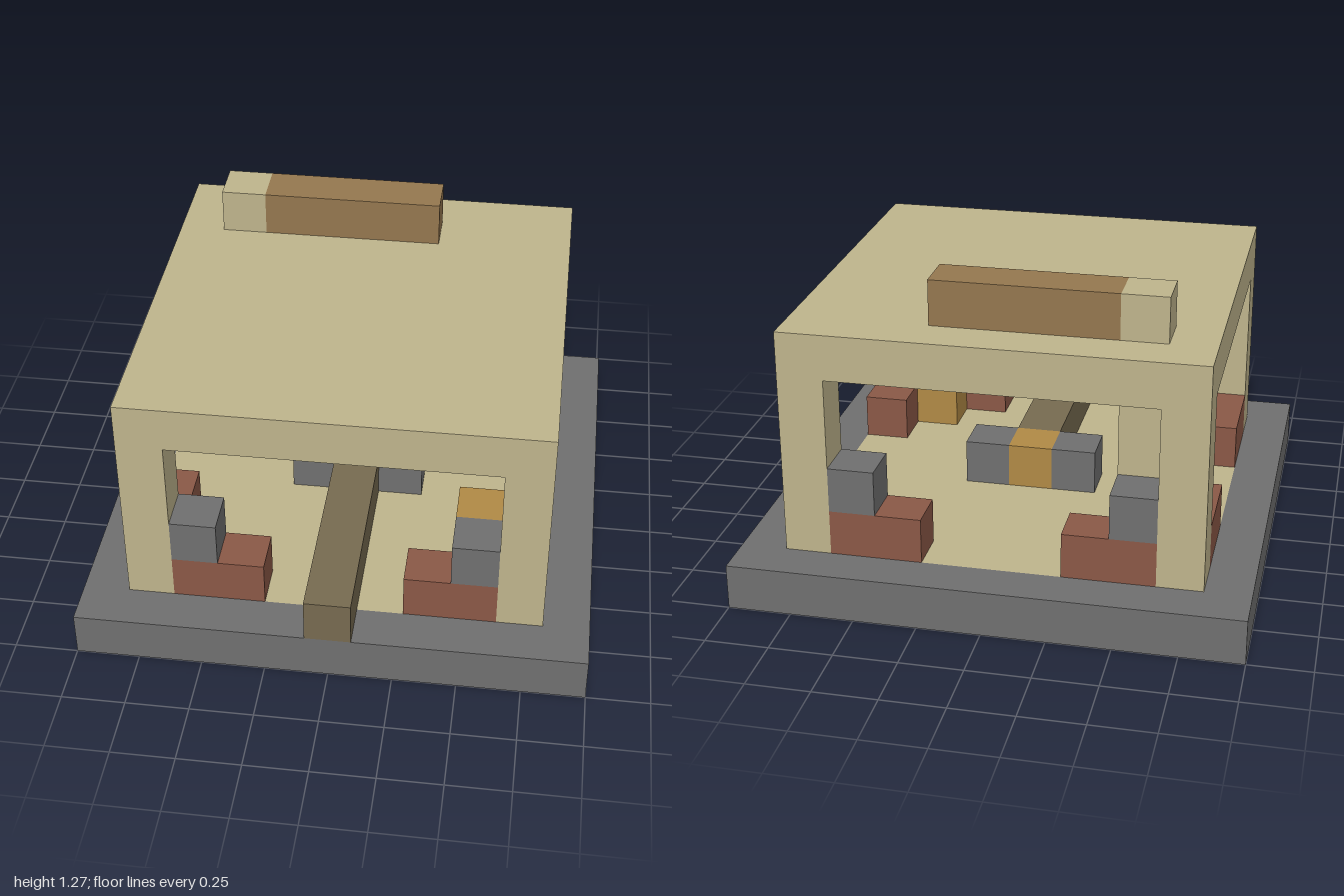
import * as THREE from 'three';

// The model sits on a grid of cubes, 11 cells to the longest side
const U = 2 / 11;

const paint = (name, color) => {
  const m = new THREE.MeshStandardMaterial({ color });
  m.name = name;
  return m;
};

export function createModel() {
  const group = new THREE.Group();
  const stone = paint('stone grey', 0x6f6f6f);
  const sand = paint('sand', 0xbeb48c);
  const brick = paint('brick red', 0x8a5846);
  const bark = paint('bark', 0x766a50);
  const wood = paint('wood brown', 0x94774f);
  const gold = paint('gold', 0xb08945);

  // Block filling whole cells from (x0,y0,z0) to (x1,y1,z1), both included
  const block = (name, mat, [x0, y0, z0], [x1, y1, z1] = [x0, y0, z0]) => {
    const mesh = new THREE.Mesh(
      new THREE.BoxGeometry((x1 - x0 + 1) * U, (y1 - y0 + 1) * U, (z1 - z0 + 1) * U), mat);
    mesh.position.set((x0 + x1) / 2 * U, (y0 + y1 + 1) / 2 * U, (z0 + z1) / 2 * U);
    mesh.name = name;
    group.add(mesh);
    return mesh;
  };

  // Base: sand floor inside a stone border
  block('floor', sand, [-4, 0, -4], [4, 0, 4]);
  for (const s of [-5, 5]) {
    block('borderLong', stone, [-5, 0, s], [5, 0, s]);
    block('borderShort', stone, [s, 0, -4], [s, 0, 4]);
  }

  // Corner pillars, each with low brick walls and a stone block beside it
  for (const sx of [-1, 1]) for (const sz of [-1, 1]) {
    block('pillar', sand, [4 * sx, 1, 4 * sz], [4 * sx, 4, 4 * sz]);
    const a = sx > 0 ? 2 : -3, b = sz > 0 ? 2 : -3;
    block('wallAcross', brick, [a, 1, 4 * sz], [a + 1, 1, 4 * sz]);
    block('wallAlong', brick, [4 * sx, 1, b], [4 * sx, 1, b + 1]);
    block('wallBlock', stone, [3 * sx, 2, 4 * sz]);
  }

  // Roof with a long beam on top
  block('roof', sand, [-4, 5, -4], [4, 5, 4]);
  block('roofBeam', wood, [-2, 6, -3], [1, 6, -3]);
  block('flueTop', sand, [-3, 6, -3]);

  // Flue in the back corner, below the end of the roof beam
  block('flue', sand, [-3, 1, -3], [-3, 4, -3]);

  // Thin stone patch on the ceiling
  const patch = new THREE.Mesh(new THREE.BoxGeometry(U, 0.006, U), stone);
  patch.position.set(U, 5 * U - 0.002, -3 * U);
  patch.name = 'ceilingPatch';
  group.add(patch);

  // Hearth in the middle, with the log leading in from the front
  block('log', bark, [0, 1, 1], [0, 1, 5]);
  block('hearth', gold, [0, 1, 0]);
  for (const s of [-1, 1]) block('hearthStone', stone, [s, 1, 0]);

  // Hanging lamp and the stack in the front corner
  block('lamp', gold, [0, 4, 0]);
  block('cornerStack', gold, [3, 1, 3], [3, 2, 3]);

  return group;
}
